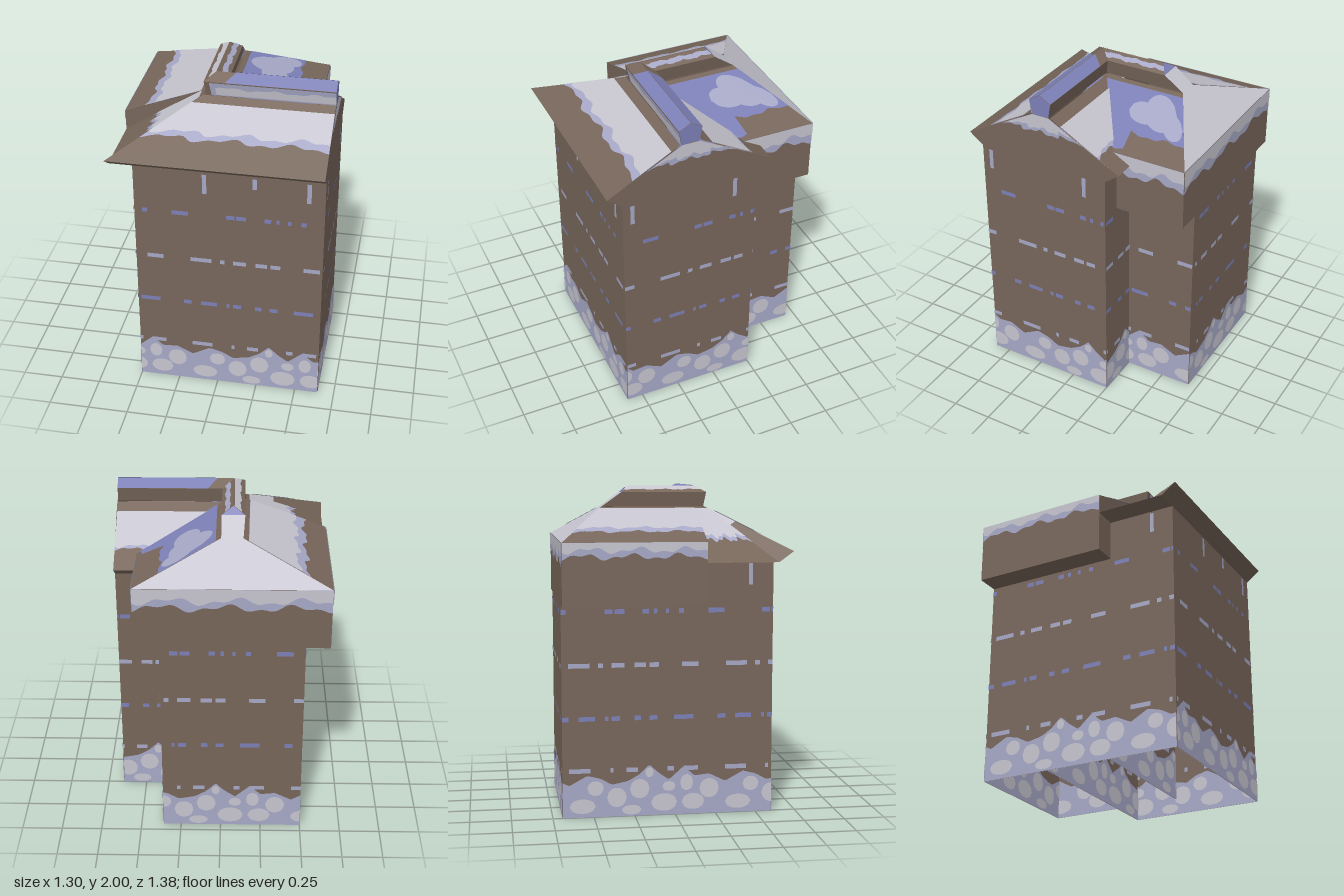
import * as THREE from 'three';
import { mergeGeometries } from 'three/addons/utils/BufferGeometryUtils.js';

const V = (x, y, z) => new THREE.Vector3(x, y, z);

function material(name, color) {
  const m = new THREE.MeshStandardMaterial({ color, side: THREE.DoubleSide });
  m.name = name;
  return m;
}

// A patch of a flat four-cornered face q = [topLeft, topRight, bottomLeft, bottomRight].
// s runs left to right, f runs from the top (0) to the bottom (1); top and bot give f along s.
function strip(q, { s0 = 0, s1 = 1, top = () => 0, bot = () => 1, n = 1, layer = 0 } = {}) {
  const [a, b, c, d] = q;
  const across = d.clone().sub(c).add(b).sub(a);
  const up = a.clone().add(b).sub(c).sub(d);
  const normal = across.cross(up).normalize();
  const lift = normal.clone().multiplyScalar(0.0025 * layer);
  const pos = [], nor = [], idx = [];
  for (let i = 0; i <= n; i++) {
    const s = s0 + (s1 - s0) * i / n;
    const hi = a.clone().lerp(b, s), lo = c.clone().lerp(d, s);
    for (const f of [top(s), bot(s)]) {
      pos.push(...hi.clone().lerp(lo, THREE.MathUtils.clamp(f, 0, 1)).add(lift).toArray());
      nor.push(...normal.toArray());
    }
    if (i < n) idx.push(2 * i, 2 * i + 1, 2 * i + 2, 2 * i + 1, 2 * i + 3, 2 * i + 2);
  }
  const g = new THREE.BufferGeometry();
  g.setAttribute('position', new THREE.Float32BufferAttribute(pos, 3));
  g.setAttribute('normal', new THREE.Float32BufferAttribute(nor, 3));
  g.setIndex(idx);
  return g;
}

// Repeating wall pattern
const PERIOD = 0.96;
const SNOW_LINE = [[-.16, .2], [-.05, .26], [.03, .24], [.1, .2], [.2, .22], [.27, .26], [.33, .32],
  [.38, .27], [.45, .22], [.54, .3], [.61, .24], [.7, .25], [.8, .2]];
const DASHES = [
  [.29, [[-.16, -.03], [.09, .11], [.19, .26], [.44, .48], [.54, .63]]],
  [.61, [[-.1, 0], [.06, .08], [.1, .15], [.24, .28], [.33, .38], [.48, .6], [.75, .8]]],
  [.935, [[-.16, -.03], [.02, .05], [.1, .18], [.24, .31], [.33, .39], [.53, .63]]],
  [1.26, [[.06, .11], [.12, .18], [.29, .33], [.36, .38], [.43, .45], [.51, .54], [.69, .79]]],
];
const DRIFTS = [[-.08, .07, .08, .045], [.0, .18, .05, .045], [.13, .12, .06, .06], [.27, .17, .06, .06],
  [.33, .27, .025, .03], [.42, .08, .08, .055], [.45, .18, .04, .03], [.56, .2, .04, .05],
  [.6, .08, .07, .05], [.7, .16, .06, .06], [.22, .04, .06, .03]];

function snowLine(t) {
  t = ((t + .16) % PERIOD + PERIOD) % PERIOD - .16;
  const i = Math.max(1, SNOW_LINE.findIndex(p => p[0] >= t));
  const [p, q] = [SNOW_LINE[i - 1], SNOW_LINE[i]];
  return p[1] + (q[1] - p[1]) * (t - p[0]) / (q[0] - p[0]);
}
const wave = s => .6 * Math.sin(s * 19 + 1) + .4 * Math.sin(s * 43);

export function createModel() {
  const mats = {
    brown: material('brown boards', 0x77665a),
    snow: material('pale snow', 0xc6c5cf),
    lavender: material('shaded snow', 0xa6a8c6),
    blue: material('blue ice', 0x7c80b6),
  };
  const store = new Map();
  const add = (name, mat, q, opt) => {
    const key = name + '|' + mat;
    if (!store.has(key)) store.set(key, []);
    store.get(key).push(strip(q, opt));
  };
  const blob = (name, mat, q, s, f, rs, rf, layer) => {
    const r = x => rf * Math.sqrt(Math.max(0, 1 - ((x - s) / rs) ** 2));
    const s0 = Math.max(0, s - rs), s1 = Math.min(1, s + rs);
    if (s1 > s0) add(name, mat, q, { s0, s1, n: 12, layer, top: x => f - r(x), bot: x => f + r(x) });
  };
  // Wavy band of snow with a shaded fringe, from f0 down to f1
  const band = (name, q, f0, f1, amp, fringe = .1, s0 = 0, s1 = 1) => {
    const n = 48;
    add(name, 'lavender', q, { s0, s1, n, layer: 1, top: () => f0, bot: s => f1 + fringe + amp * wave(s + .05) });
    add(name, 'snow', q, { s0, s1, n, layer: 2, top: () => f0, bot: s => f1 + amp * wave(s) });
  };

  // Wall standing on the ground from (x0,z0) to (x1,z1), left to right seen from outside
  function wall(name, x0, z0, x1, z1, h, t0, icicles = []) {
    const q = [V(x0, h, z0), V(x1, h, z1), V(x0, 0, z0), V(x1, 0, z1)];
    const w = Math.hypot(x1 - x0, z1 - z0);
    add(name, 'brown', q);
    for (const side of [1, -1]) {
      add(name, 'lavender', q, { n: 72, layer: side, top: s => 1 - snowLine(t0 + s * w) / h });
      for (let k = -1; k < 3; k++) {
        for (const [t, y, rt, ry] of DRIFTS)
          blob(name, 'snow', q, (t + k * PERIOD - t0) / w, 1 - y / h, rt / w, ry / h, 2 * side);
        DASHES.forEach(([y, row], r) => row.forEach(([a, b]) => {
          const s0 = Math.max(0, (a + k * PERIOD - t0) / w), s1 = Math.min(1, (b + k * PERIOD - t0) / w);
          if (s1 > s0 && y < h) add(name, r % 2 ? 'blue' : 'lavender', q,
            { s0, s1, layer: 2 * side, top: () => 1 - (y + .014) / h, bot: () => 1 - (y - .014) / h });
        }));
      }
    }
    for (const [t, y0, y1] of icicles) {
      const s = (t - t0) / w;
      add(name, 'lavender', q, { s0: s - .013 / w, s1: s + .013 / w, layer: 2, top: () => 1 - y1 / h, bot: () => 1 - y0 / h });
    }
  }
  wall('frontWall', -.5, .6, .645, .6, 1.555, -.5, [[-.07, 1.41, 1.54], [.23, 1.47, 1.54], [.55, 1.41, 1.54]]);
  wall('gableWall', .645, .6, .645, -.25, 1.555, -.39, [[-.33, 1.41, 1.54], [.32, 1.41, 1.54]]);
  wall('innerCornerWall', .645, -.25, .36, -.25, 1.555, .1);
  wall('rearWingSideWall', .36, -.25, .36, -.69, 1.3, .46);
  wall('rearWall', .36, -.69, -.5, -.69, 1.3, 0);
  wall('leftWall', -.5, -.69, -.5, .6, 1.555, -.2, [[.95, 1.41, 1.54]]);
  wall('innerPartition', .36, -.25, -.5, -.25, 1.3, .38);
  wall('innerPartition', -.5, .17, .36, .17, 1.3, -.5);

  // Overhanging upper storey of the rear wing
  const L = -.645, R = .51, yo = 1.3, ye = 1.68;
  const upright = (x0, z0, x1, z1) => [V(x0, ye, z0), V(x1, ye, z1), V(x0, yo, z0), V(x1, yo, z1)];
  const storey = {
    back: upright(R, -.69, L, -.69), left: upright(L, -.69, L, .17),
    right: upright(R, .17, R, -.69), front: upright(L, .17, R, .17),
  };
  for (const q of Object.values(storey)) add('upperStorey', 'brown', q);
  band('upperStorey', storey.back, 0, .2, .08, .12);
  band('upperStorey', storey.left, 0, .12, .06, .1);
  band('upperStorey', storey.right, 0, .2, .08, .12);
  for (const [x0, x1] of [[L, -.5], [.36, R]])
    add('storeyUnderside', 'brown', [V(x0, yo, .17), V(x1, yo, .17), V(x0, yo, -.69), V(x1, yo, -.69)].reverse());

  // Main roof: front and back slopes, hipped left end, eaves
  const yr = 1.87, yw = 1.555, yv = 1.62, E = .645;
  const frontSlope = [V(-.145, yr, .24), V(E, yr, .24), V(-E, yv, .69), V(E, yv, .69)];
  add('frontRoof', 'brown', frontSlope);
  band('frontRoof', frontSlope, .12, .53, .045, .08);
  const backSlope = [V(E, yr, .11), V(-.07, yr, .11), V(E, yv, -.34), V(-.07, yv, -.34)];
  add('backRoof', 'brown', backSlope);
  band('backRoof', backSlope, .15, .66, .03, .04);
  const leftHip = [V(-.145, yr, .17), V(-.145, yr, .24), V(-E, yw, .17), V(-E, yw, .6)];
  add('leftRoofEnd', 'brown', leftHip);
  band('leftRoofEnd', leftHip, .04, .55, .05, .06);
  const hipEdge = [V(-.145, yr, .24), V(-.145, yr, .24), V(-E, yw, .6), V(-E, yv, .69)];
  add('leftRoofEdge', 'brown', hipEdge);
  add('leftRoofEdge', 'snow', hipEdge, { layer: 1, bot: () => .35 });
  add('eaves', 'brown', [V(-E, yv, .69), V(E, yv, .69), V(-E, yw, .6), V(E, yw, .6)]);
  add('eaves', 'brown', [V(E, yv, -.34), V(.36, yv, -.34), V(E, yw, -.25), V(.36, yw, -.25)]);
  add('eaves', 'brown', [V(-E, yw, .6), V(-.5, yw, .6), V(-E, yw, .17), V(-.5, yw, .17)].reverse());

  // Gable end
  const gable = [V(E, yr, .23), V(E, yr, .12), V(E, yv, .69), V(E, yv, -.34)];
  add('gable', 'brown', gable);
  band('gable', gable, 0, .33, .06, .1);
  add('gable', 'brown', [V(E, yv, .69), V(E, yv, -.34), V(E, yw, .6), V(E, yw, -.25)]);

  // Rear wing roof
  const leftSlope = [V(-.13, yr, -.41), V(-.14, yr, .17), V(L, ye, -.69), V(L, ye, .17)];
  add('rearWingLeftRoof', 'brown', leftSlope);
  band('rearWingLeftRoof', leftSlope, .06, .62, .04, .1);
  const rightSlope = [V(0, yr, .17), V(0, yr, -.41), V(R, ye, .17), V(R, ye, -.69)];
  add('rearWingRightRoof', 'brown', rightSlope);
  add('rearWingRightRoof', 'blue', rightSlope, { n: 40, layer: 1, top: () => .06, bot: s => (s < .55 ? .95 : .7) + .03 * wave(s) });
  for (const [s, f, rs, rf] of [[.78, .35, .16, .25], [.62, .4, .14, .15], [.9, .5, .09, .17]])
    blob('rearWingRightRoof', 'lavender', rightSlope, s, f, rs, rf, 2);
  add('rearHip', 'snow', [V(0, yr, -.41), V(-.13, yr, -.41), V(R, ye, -.69), V(L, ye, -.69)]);
  add('rearWingGable', 'brown', [V(-.13, yr, .17), V(0, yr, .17), V(L, ye, .17), V(R, ye, .17)]);

  // Ridge cap of the main roof: five-sided bar, from the corner to the gable
  const ys = 1.96, yt = 2;
  const capFront = [V(-.14, ys, .248), V(E, ys, .248), V(-.125, yr, .232), V(E, yr, .232)];
  const capTop = [V(-.07, yt, .177), V(E, yt, .177), V(-.14, ys, .248), V(E, ys, .248)];
  const capBackTop = [V(E, yt, .177), V(-.07, yt, .177), V(E, ys, .106), V(0, ys, .106)];
  const capBack = [V(E, ys, .106), V(0, ys, .106), V(E, yr, .122), V(-.015, yr, .122)];
  for (const q of [capFront, capTop, capBackTop, capBack]) add('ridgeCap', 'brown', q);
  add('ridgeCap', 'lavender', capFront, { s0: .04, n: 30, layer: 1, top: () => .05 });
  add('ridgeCap', 'snow', capFront, { s0: .08, n: 30, layer: 2, top: s => .38 + .12 * wave(s), bot: () => .92 });
  add('ridgeCap', 'blue', capTop, { s0: .16, layer: 1 });
  add('ridgeCap', 'blue', capBackTop, { s1: .86, layer: 1 });
  add('ridgeCap', 'blue', [V(E, yt, .177), V(E, yt, .177), V(E, ys, .248), V(E, ys, .106)]);
  add('ridgeCap', 'blue', [V(E, ys, .248), V(E, ys, .106), V(E, yr, .232), V(E, yr, .122)]);

  // Ridge cap of the rear wing, cut off along the slope of the rear hip
  const zs = -.285, zt = -.24, zr = -.41;
  const wingLeft = [V(-.14, ys, zs), V(-.14, ys, .248), V(-.125, yr, zr), V(-.125, yr, .232)];
  const wingLeftTop = [V(-.07, yt, zt), V(-.07, yt, .177), V(-.14, ys, zs), V(-.14, ys, .248)];
  const wingRightTop = [V(-.07, yt, .177), V(-.07, yt, zt), V(0, ys, .106), V(0, ys, zs)];
  const wingRight = [V(0, ys, .106), V(0, ys, zs), V(-.015, yr, .122), V(-.015, yr, zr)];
  for (const q of [wingLeft, wingLeftTop, wingRightTop, wingRight]) add('rearWingRidgeCap', 'brown', q);
  add('rearWingRidgeCap', 'snow', wingLeftTop, { n: 20, layer: 1, top: () => .08, bot: s => .62 + .1 * wave(s) });
  add('rearWingRidgeCap', 'lavender', wingRightTop, { n: 20, layer: 1, top: s => .28 + .08 * wave(s), bot: s => .68 + .1 * wave(s) });
  add('rearWingRidgeCap', 'blue', [V(-.07, yt, zt), V(-.07, yt, zt), V(0, ys, zs), V(-.14, ys, zs)]);
  add('rearWingRidgeCap', 'snow', [V(0, ys, zs), V(-.14, ys, zs), V(-.005, yr, zr), V(-.13, yr, zr)]);

  // One mesh for each part and colour
  const model = new THREE.Group();
  model.name = 'snowyHouse';
  for (const [key, geos] of store) {
    const [name, mat] = key.split('|');
    const mesh = new THREE.Mesh(mergeGeometries(geos), mats[mat]);
    mesh.name = mat === 'brown' ? name : `${name} ${mat}`;
    model.add(mesh);
  }
  return model;
}
